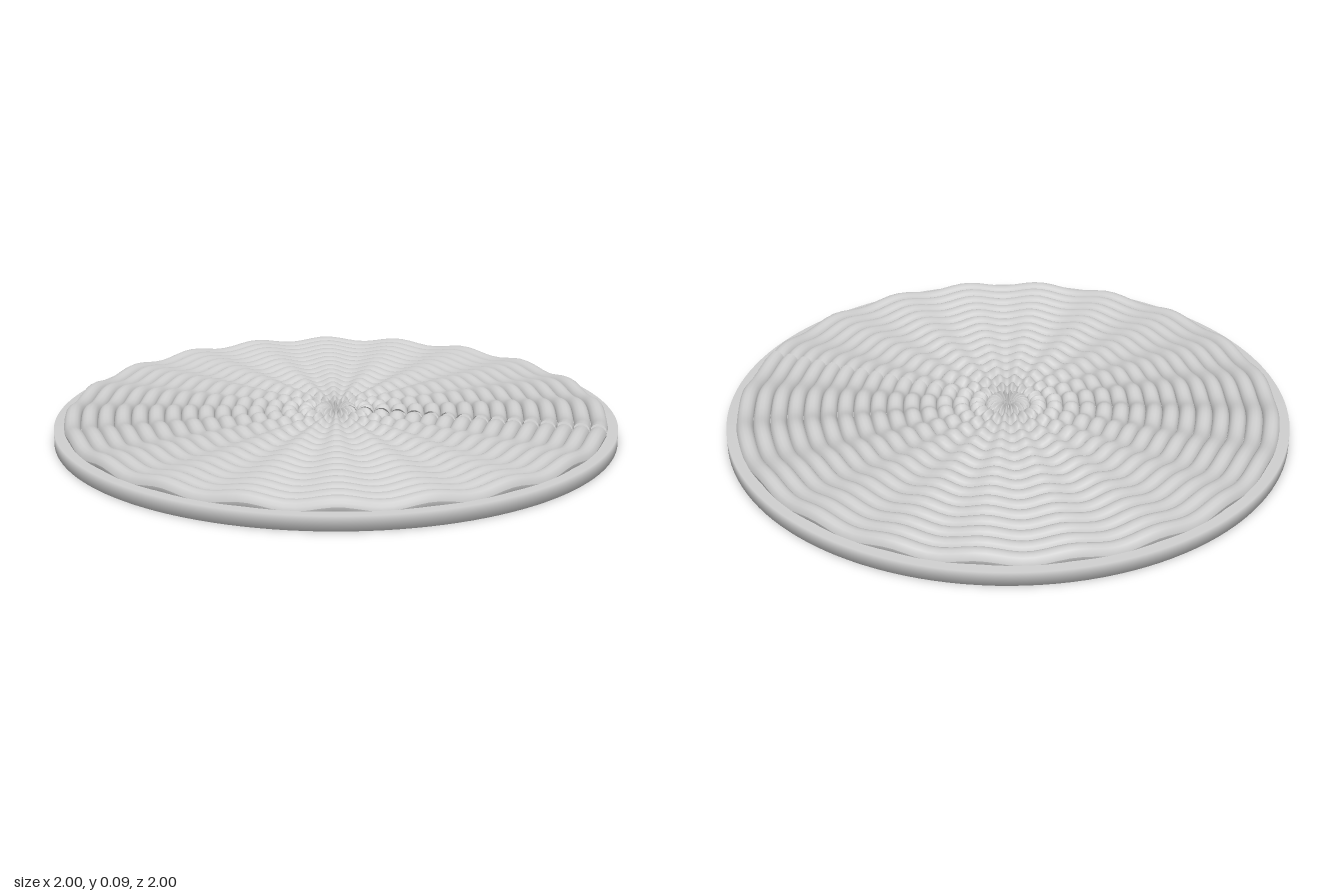
import * as THREE from 'three';

const RINGS = 16, INNER = 0.05, STEP = 0.059, TUBE = 0.0295;
const WAVES = 20.25, SWELL = 0.009;

// Coil ring whose height ripples around the circle, with a step where its ends meet
function wavyRing(radius) {
  const geo = new THREE.TorusGeometry(radius, TUBE, 14, 160);
  geo.rotateX(-Math.PI / 2);
  const pos = geo.attributes.position, uv = geo.attributes.uv;
  for (let i = 0; i < pos.count; i++) {
    const wave = Math.cos(uv.getX(i) * Math.PI * 2 * WAVES);
    pos.setY(i, pos.getY(i) + 0.056 + SWELL * wave);
  }
  geo.computeVertexNormals();
  return geo;
}

export function createModel() {
  const model = new THREE.Group();
  model.name = 'ringedDisc';
  const grey = new THREE.MeshStandardMaterial({ color: 0xcccccc, side: THREE.DoubleSide });
  grey.name = 'light grey';

  // Flat base plate, smooth over the rim
  const profile = [[0, 0], [1, 0], [1, 0.05], [0, 0.05]].map(p => new THREE.Vector2(...p));
  const base = new THREE.Mesh(new THREE.LatheGeometry(profile, 128), grey);
  base.name = 'basePlate';
  model.add(base);

  // Concentric rippled rings, edge to edge
  const rings = new THREE.Group();
  rings.name = 'rippledRings';
  for (let i = 0; i < RINGS; i++) {
    const ring = new THREE.Mesh(wavyRing(INNER + i * STEP), grey);
    ring.name = `ring${i + 1}`;
    rings.add(ring);
  }
  model.add(rings);
  return model;
}
